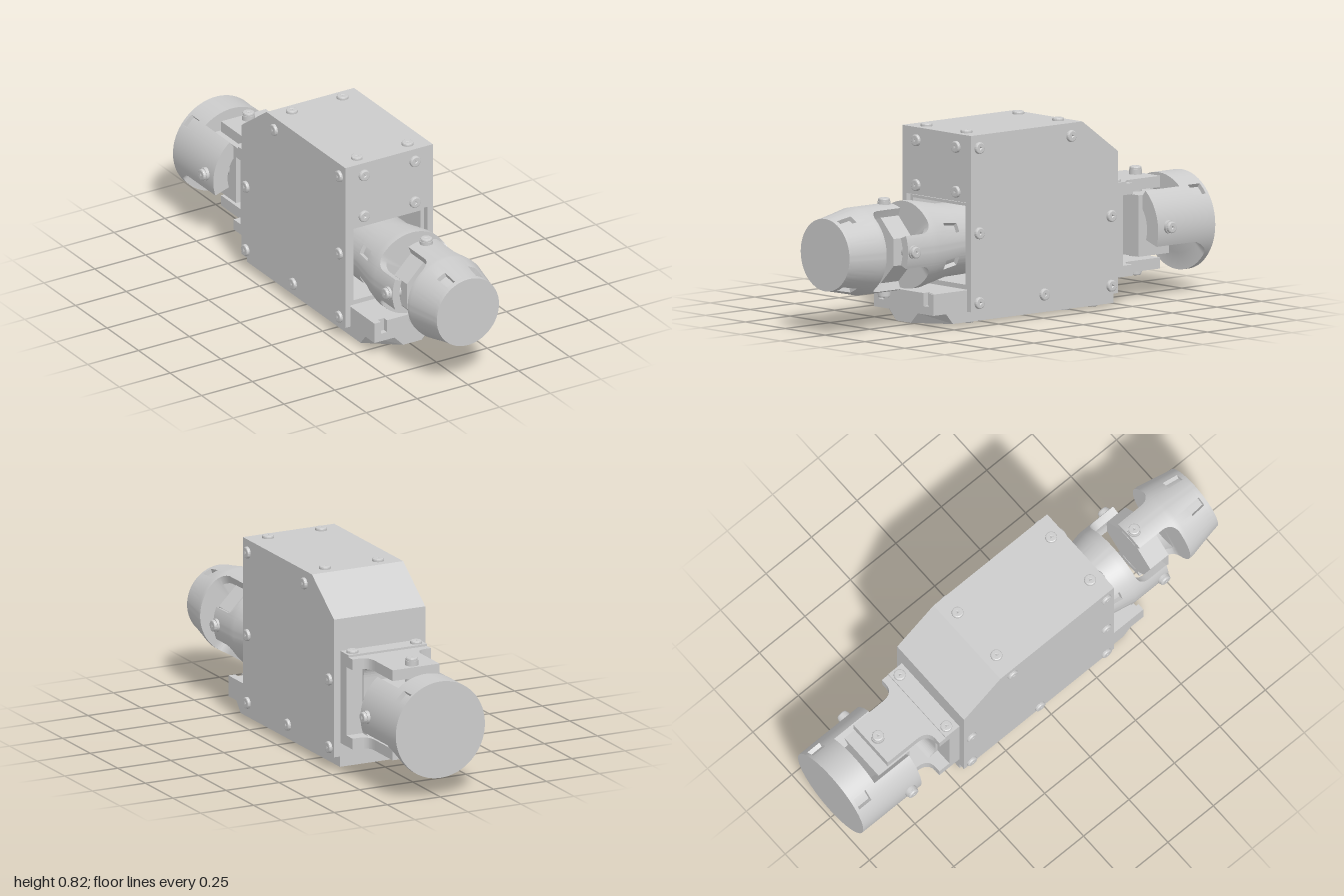
import * as THREE from 'three';
import { toCreasedNormals } from 'three/addons/utils/BufferGeometryUtils.js';

const material = new THREE.MeshStandardMaterial({ color: 0xcccccc });

export function createModel() {
  const model = new THREE.Group();

  const add = (name, geometry, x = 0, y = 0, z = 0, parent = model) => {
    const mesh = new THREE.Mesh(geometry, material);
    mesh.name = name;
    mesh.position.set(x, y, z);
    parent.add(mesh);
    return mesh;
  };
  // Box given by its limits
  const box = (name, x0, x1, y0, y1, z0, z1) =>
    add(name, new THREE.BoxGeometry(x1 - x0, y1 - y0, z1 - z0), (x0 + x1) / 2, (y0 + y1) / 2, (z0 + z1) / 2);
  const polygon = (points) => new THREE.Shape(points.map(([x, y]) => new THREE.Vector2(x, y)));
  const extrude = (shape, depth) =>
    new THREE.ExtrudeGeometry(shape, { depth, bevelEnabled: false, curveSegments: 10 });
  // Profile drawn as (z, y), extruded along x
  const sideExtrude = (shape, x0, x1) =>
    extrude(shape, x1 - x0).rotateY(-Math.PI / 2).translate(x1, 0, 0);
  // Plan drawn as (x, z), extruded along y
  const planExtrude = (shape, y0, y1) =>
    extrude(shape, y1 - y0).rotateX(Math.PI / 2).translate(0, y1, 0);

  // Button screw with a three-sided socket
  const head = new THREE.Shape().absarc(0, 0, 0.02, 0, Math.PI * 2);
  const socket = [0, 1, 2].map((i) => [0.01 * Math.cos(i * 2.094), 0.01 * Math.sin(i * 2.094)]);
  head.holes.push(polygon(socket));
  const screwGeometry = new THREE.ExtrudeGeometry(head, {
    depth: 0.007, bevelThickness: 0.006, bevelSize: 0.005, bevelSegments: 2, curveSegments: 10,
  });
  const forward = new THREE.Vector3(0, 0, 1);
  const screw = (x, y, z, nx, ny, nz, scale = 1) => {
    const mesh = add('screw', screwGeometry, x, y, z);
    mesh.quaternion.setFromUnitVectors(forward, new THREE.Vector3(nx, ny, nz));
    mesh.scale.setScalar(scale);
  };

  // Housing: core, side plates and front panel
  const outline = (front, back, bottom) => polygon([
    [front, bottom], [front, 0.805], [-0.25, 0.805], [back, 0.66 + (back + 0.45) * 0.7], [back, bottom],
  ]);
  add('housingCore', sideExtrude(outline(0.1, -0.45, 0.06), -0.19, 0.19));
  for (const s of [-1, 1]) {
    add('sidePlate', sideExtrude(outline(0.375, -0.45, 0.06), s > 0 ? 0.19 : -0.215, s > 0 ? 0.215 : -0.19));
    for (const [z, y] of [[0.33, 0.75], [-0.185, 0.75], [0.33, 0.39], [-0.41, 0.39], [0.33, 0.095], [-0.035, 0.095], [-0.41, 0.095]])
      screw(s * 0.215, y, z, s, 0, 0);
    for (const y of [0.75, 0.56]) screw(s * 0.125, y, 0.375, 0, 0, 1);
    for (const z of [0.32, -0.195]) screw(s * 0.125, 0.805, z, 0, 1, 0);
    for (const z of [0.31, -0.23, -0.385]) screw(s * 0.125, 0.015, z, 0, -1, 0);
    screw(s * 0.15, 0.52, -0.492, 0, 1, 0);
  }
  box('frontPanel', -0.19, 0.19, 0.52, 0.805, 0.1, 0.375);

  // Square tunnel around the front shaft
  const frame = polygon([[-0.18, 0.06], [0.18, 0.06], [0.18, 0.515], [-0.18, 0.515]]);
  frame.holes.push(polygon([[-0.165, 0.17], [-0.165, 0.503], [0.165, 0.503], [0.165, 0.17]]));
  add('shaftTunnel', extrude(frame, 0.26), 0, 0, 0.1);

  // Base plate, its front corners undercut by a sloping chamfer
  const base = polygon([
    [-0.187, -0.45], [0.187, -0.45], [0.187, 0.45], [0.045, 0.56], [-0.045, 0.56], [-0.187, 0.45],
  ]);
  for (const z of [0.4, 0.13, -0.1])
    base.holes.push(new THREE.Path().absarc(0, z, 0.015, 0, Math.PI * 2, true));
  const baseGeometry = planExtrude(base, 0.015, 0.061);
  const bp = baseGeometry.attributes.position;
  for (let i = 0; i < bp.count; i++) {
    if (bp.getY(i) < 0.05 || bp.getZ(i) < 0.44) continue;
    if (bp.getZ(i) > 0.55) bp.setX(i, bp.getX(i) * 2);
    else bp.setZ(i, 0.49);
  }
  baseGeometry.computeVertexNormals();
  add('basePlate', baseGeometry);

  // Front foot with two slots in its face
  box('frontFoot', -0.187, 0.187, 0.06, 0.15, 0.36, 0.535);
  add('slottedFootFace', extrude(polygon([
    [-0.187, 0.06], [0.187, 0.06], [0.187, 0.15], [0.155, 0.15], [0.155, 0.095], [0.125, 0.095], [0.125, 0.15],
    [-0.125, 0.15], [-0.125, 0.095], [-0.155, 0.095], [-0.155, 0.15], [-0.187, 0.15],
  ]), 0.025), 0, 0, 0.535);

  // Joint yoke: a turned cup whose rim reaches s = end(offset) and forms two arms at local +x and -x.
  // Profile points are [s, radius, recessed]; recesses sit at the notch angles.
  function yoke(name, { profile, inner, floor, end, breaks, notches }) {
    const half = 0.13, angles = [];
    for (let i = 0; i < 120; i++) angles.push((i / 120) * Math.PI * 2);
    const edges = [...breaks, ...notches.flatMap((n) => [n - half, n + half])];
    for (const e of edges) for (const d of [-1e-3, 1e-3])
      angles.push((e + d + Math.PI * 2) % (Math.PI * 2));
    angles.sort((a, b) => a - b);
    angles.push(Math.PI * 2);
    const outer = profile[profile.length - 1][1];
    const rows = profile.length + 4, position = [], index = [];
    for (const a of angles) {
      const rim = end(outer * Math.sin(a));
      const cut = notches.some((n) => Math.abs(Math.atan2(Math.sin(a - n), Math.cos(a - n))) < half);
      const section = profile.map(([s, r, dip]) => [Math.min(s, rim), dip && cut ? r - 0.02 : r]);
      section.push([rim, outer], [rim, inner], [Math.min(floor, rim), inner], [floor, 0]);
      for (const [s, r] of section) position.push(r * Math.cos(a), r * Math.sin(a), s);
    }
    for (let j = 0; j < angles.length - 1; j++) for (let i = 0; i < rows - 1; i++) {
      const a = j * rows + i, b = a + rows;
      index.push(a, b, b + 1, a, b + 1, a + 1);
    }
    const geometry = new THREE.BufferGeometry();
    geometry.setAttribute('position', new THREE.Float32BufferAttribute(position, 3));
    geometry.setIndex(index);
    return add(name, toCreasedNormals(geometry, 0.5));
  }
  const mirrored = (list) => list.flatMap((a) => [a, Math.PI - a]);
  // Arm of half width 0.07 flowing into the cup with a fillet
  const forkEnd = (floor, tip) => (offset) => {
    const w = Math.abs(offset);
    if (w < 0.07) return tip;
    const t = Math.min(1, (w - 0.07) / 0.05);
    return floor + 0.05 * (1 - Math.sqrt(1 - (1 - t) ** 2));
  };
  const armBreaks = mirrored([0.388, -0.388]);
  const fourNotches = mirrored([0.47, -0.47]);

  // Front universal joint
  yoke('frontInnerYoke', {
    profile: [[0, 0], [0, 0.15], [0.27, 0.155], [0.28, 0.157], [0.281, 0.157, 1], [0.365, 0.174, 1], [0.366, 0.174], [0.42, 0.185], [0.455, 0.185]],
    inner: 0.15, floor: 0.455, end: forkEnd(0.455, 0.6), breaks: armBreaks, notches: fourNotches,
  }).position.set(0, 0.34, 0.1);
  const frontYoke = yoke('frontOuterYoke', {
    profile: [[0, 0], [0, 0.153], [0.02, 0.156], [0.021, 0.156, 1], [0.09, 0.17, 1], [0.091, 0.17], [0.16, 0.185], [0.18, 0.185]],
    inner: 0.147, floor: 0.18, end: forkEnd(0.18, 0.36), breaks: armBreaks, notches: fourNotches,
  });
  frontYoke.position.set(0, 0.34, 1);
  frontYoke.rotation.set(0, Math.PI, Math.PI / 2);
  const cross = new THREE.CylinderGeometry(0.15, 0.15, 0.1, 8, 1).rotateY(Math.PI / 8).rotateX(Math.PI / 2);
  add('frontCross', toCreasedNormals(cross, 0.3), 0, 0.34, 0.69);

  // Rear universal joint
  yoke('rearYoke', {
    profile: [[0, 0], [0, 0.21], [0.015, 0.21], [0.016, 0.21, 1], [0.08, 0.21, 1], [0.081, 0.21], [0.1, 0.21]],
    inner: 0.14, floor: 0.1,
    end: (y) => {
      if (y > 0.165) return 0.13;
      if (y > -0.065) return 0.32;
      return 0.027 + 0.073 * (1 - Math.min(1, (-0.065 - y) / 0.06)) ** 2;
    },
    breaks: mirrored([0.904, -0.315]), notches: mirrored([0.78]),
  }).position.set(0, 0.295, -1);
  box('rearCross', -0.11, 0.11, 0.18, 0.44, -0.83, -0.66);

  // Rear bracket: back plate, rounded C section and flared flanges
  box('bracketPlate', -0.185, 0.185, 0.12, 0.51, -0.505, -0.44);
  const cSection = polygon([[-0.45, 0.12], [-0.45, 0.51], [-0.78, 0.51], [-0.78, 0.465], [-0.57, 0.465]]);
  cSection.quadraticCurveTo(-0.515, 0.465, -0.515, 0.41);
  cSection.lineTo(-0.515, 0.22);
  cSection.quadraticCurveTo(-0.515, 0.165, -0.57, 0.165);
  cSection.lineTo(-0.78, 0.165);
  cSection.lineTo(-0.78, 0.12);
  add('bracketFork', sideExtrude(cSection, -0.109, 0.109));
  const flange = polygon([[-0.185, -0.45], [-0.185, -0.56], [-0.16, -0.56]]);
  flange.quadraticCurveTo(-0.11, -0.56, -0.11, -0.62);
  flange.lineTo(-0.11, -0.78);
  flange.lineTo(0.11, -0.78);
  flange.lineTo(0.11, -0.62);
  flange.quadraticCurveTo(0.11, -0.56, 0.16, -0.56);
  flange.lineTo(0.185, -0.56);
  flange.lineTo(0.185, -0.45);
  for (const y of [0.119, 0.464]) add('bracketFlange', planExtrude(flange, y, y + 0.047));
  box('bracketStrip', -0.185, 0.185, 0.51, 0.52, -0.525, -0.45);

  // Joint pins with screw heads, along x and y
  const pins = (y, z, reachX, reachUp, reachDown) => {
    const pin = (length) => new THREE.CylinderGeometry(0.028, 0.028, length, 20);
    add('crossPin', pin(2 * reachX).rotateZ(Math.PI / 2), 0, y, z);
    add('crossPin', pin(reachUp + reachDown), 0, y + (reachUp - reachDown) / 2, z);
    for (const s of [-1, 1]) screw(s * reachX, y, z, s, 0, 0);
    screw(0, y + reachUp, z, 0, 1, 0);
    screw(0, y - reachDown, z, 0, -1, 0);
  };
  pins(0.34, 0.67, 0.195, 0.197, 0.197);
  pins(0.31, -0.74, 0.222, 0.222, 0.212);

  return model;
}
